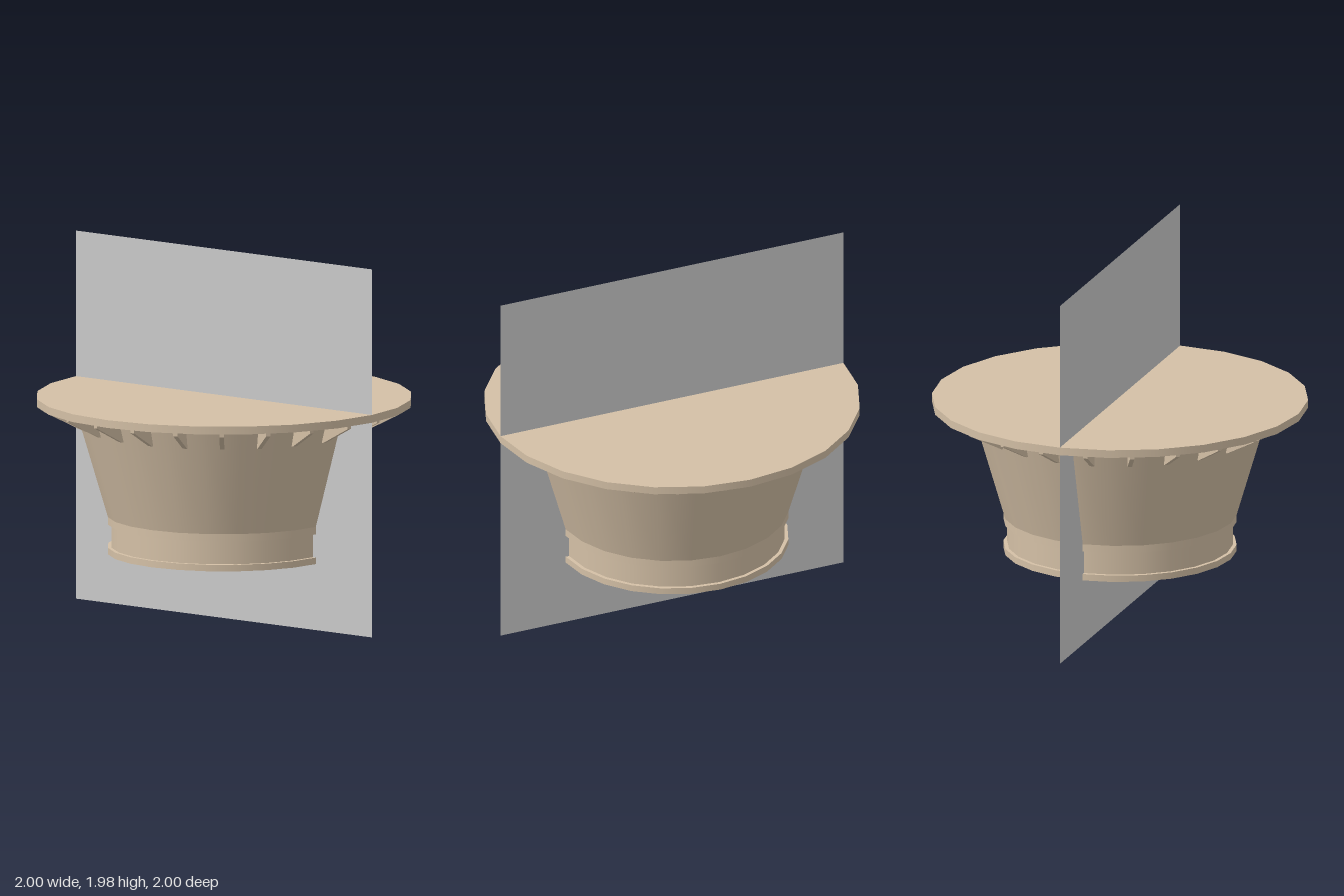
import * as THREE from 'three';
import { mergeGeometries } from 'three/addons/utils/BufferGeometryUtils.js';

const SIDES = 24;

// Revolve each profile segment on its own: smooth around, sharp at the steps
function turned(profile) {
  const points = profile.map(([r, y]) => new THREE.Vector2(r, y));
  const bands = [];
  for (let i = 0; i < points.length - 1; i++) {
    bands.push(new THREE.LatheGeometry([points[i], points[i + 1]], SIDES));
  }
  return mergeGeometries(bands);
}

export function createModel() {
  const model = new THREE.Group();
  model.name = 'flangedCup';
  const tan = new THREE.MeshStandardMaterial({ color: 0xd4c0a6 });
  const grey = new THREE.MeshStandardMaterial({ color: 0xcccccc, side: THREE.DoubleSide });

  const add = (name, geometry, material, parent = model) => {
    const mesh = new THREE.Mesh(geometry, material);
    mesh.name = name;
    parent.add(mesh);
    return mesh;
  };

  // Foot ring, recessed neck, collar and flaring cup
  add('body', turned([
    [0, 0.355], [0.62, 0.355], [0.62, 0.39], [0.6, 0.39], [0.6, 0.515],
    [0.62, 0.515], [0.62, 0.555], [0.797, 1.155],
  ]), tan);

  // Wide disc on top
  add('topDisc', turned([[0.79, 1.155], [1, 1.155], [1, 1.197], [0, 1.197]]), tan);

  // Gusset ribs under the disc, one at the middle of each side
  const outline = new THREE.Shape([
    [0.72, 1.035], [0.765, 1.035], [0.952, 1.132], [0.952, 1.156], [0.72, 1.156],
  ].map(([r, y]) => new THREE.Vector2(r, y)));
  const thickness = 0.024;
  const ribGeometry = new THREE.ExtrudeGeometry(outline, { depth: thickness, bevelEnabled: false });
  ribGeometry.translate(0, 0, -thickness / 2);
  const ribs = new THREE.Group();
  ribs.name = 'ribs';
  model.add(ribs);
  for (let i = 0; i < SIDES; i++) {
    add('rib', ribGeometry, tan, ribs).rotation.y = ((i + 0.5) / SIDES) * Math.PI * 2;
  }

  // Thin upright sheet through the middle
  add('uprightSheet', new THREE.PlaneGeometry(2, 1.98), grey).position.y = 0.99;

  return model;
}
